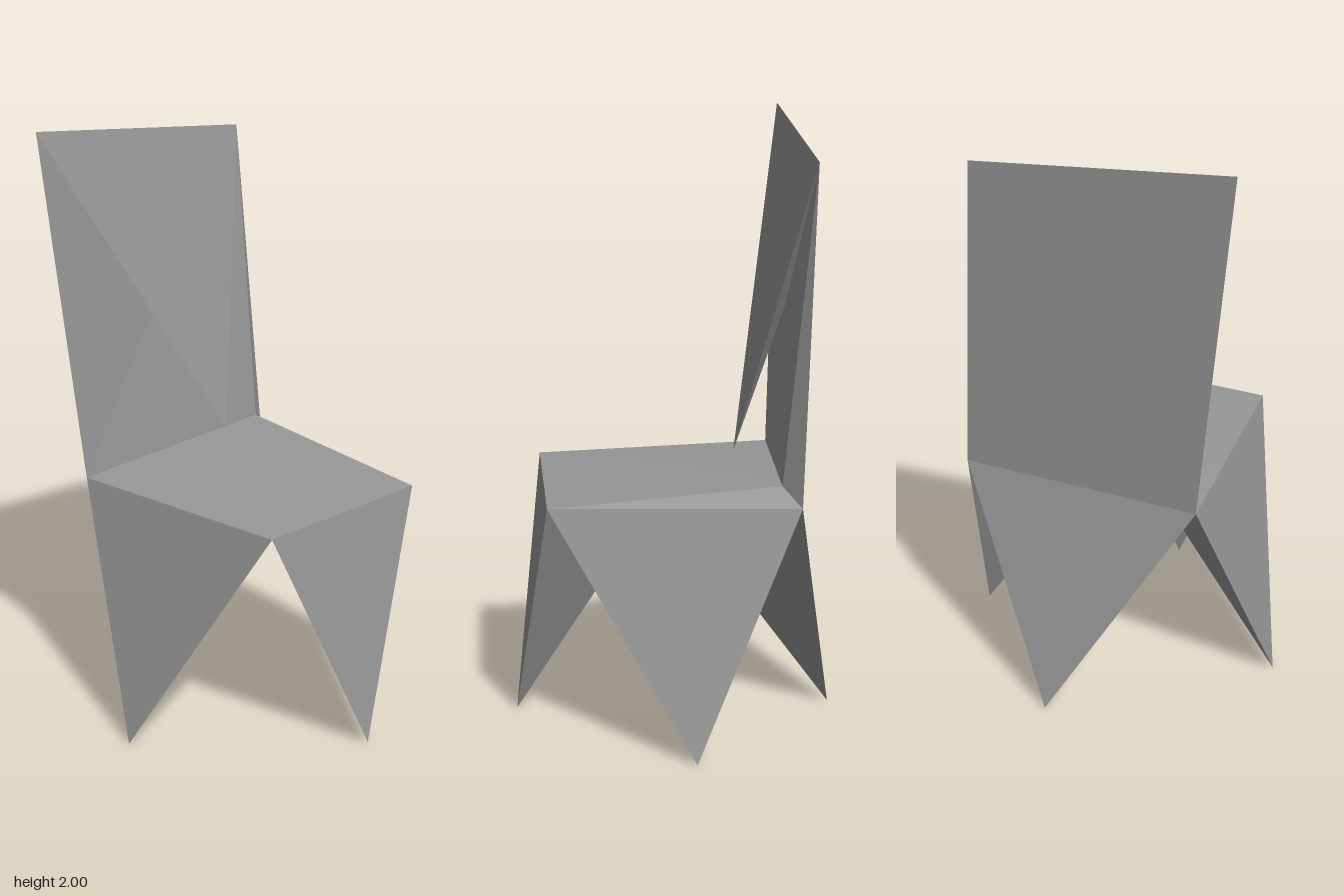
import * as THREE from 'three';
import { mergeVertices } from 'three/addons/utils/BufferGeometryUtils.js';

const paper = { color: 0x979797, side: THREE.DoubleSide };
const creased = new THREE.MeshStandardMaterial({ ...paper, flatShading: true });
const curved = new THREE.MeshStandardMaterial(paper);

// Fold points of the paper chair
const seatFrontRight = [-0.32, 0.81, 0.432];
const seatFrontLeft = [0.338, 0.81, 0.432];
const seatBackLeft = [0.419, 0.81, -0.38];
const seatBackRight = [-0.40, 0.81, -0.38];
const raisedCorner = [0.343, 0.865, -0.325];
const seatCentre = [0.04, 0.772, 0.03];
const topRight = [-0.525, 2, -0.425];
const topLeft = [0.345, 1.905, -0.425];
const backCentre = [-0.06, 1.375, -0.39];

// A sheet of triangles, each given as three points
function sheet(name, triangles, material = creased) {
  let geometry = new THREE.BufferGeometry();
  geometry.setAttribute('position', new THREE.Float32BufferAttribute(triangles.flat(2), 3));
  if (material === curved) geometry = mergeVertices(geometry);
  geometry.computeVertexNormals();
  const mesh = new THREE.Mesh(geometry, material);
  mesh.name = name;
  return mesh;
}

// A pointed flap: outer triangle plus two inner folds meeting at the centre of the square
function flap(name, a, b, tip, centre) {
  return sheet(name, [[a, tip, b], [a, centre, tip], [b, tip, centre]]);
}

export function createModel() {
  const chair = new THREE.Group();
  chair.name = 'foldedPaperChair';

  // Seat, gently twisted up to its lifted back left corner, and the fold down its left side
  chair.add(sheet('seat', [
    [seatFrontRight, seatFrontLeft, raisedCorner],
    [seatFrontRight, raisedCorner, seatBackRight],
  ], curved));
  chair.add(sheet('seatSideFold', [[seatFrontLeft, seatBackLeft, raisedCorner]]));

  // Backrest: rear panel, front layer creased at its centre, side fold and top flap
  chair.add(sheet('backrest', [
    [seatBackRight, topRight, topLeft],
    [seatBackRight, topLeft, seatBackLeft],
  ]));
  chair.add(sheet('backrestFrontLayer', [
    [seatBackRight, raisedCorner, backCentre],
    [seatBackRight, backCentre, topRight],
    [raisedCorner, topLeft, backCentre],
  ]));
  chair.add(sheet('backrestSideFold', [[raisedCorner, seatBackLeft, topLeft]]));
  chair.add(flap('backrestFlap', topRight, topLeft, [0.08, 0.915, -0.20], backCentre));

  // One pointed leg under each side of the seat
  chair.add(flap('frontLeg', seatFrontRight, seatFrontLeft, [0.032, 0, 0.536], seatCentre));
  chair.add(flap('leftLeg', seatFrontLeft, seatBackLeft, [0.552, 0, -0.03], seatCentre));
  chair.add(flap('backLeg', seatBackLeft, seatBackRight, [0.075, 0, -0.536], seatCentre));
  chair.add(flap('rightLeg', seatBackRight, seatFrontRight, [-0.552, 0, -0.01], seatCentre));

  return chair;
}
